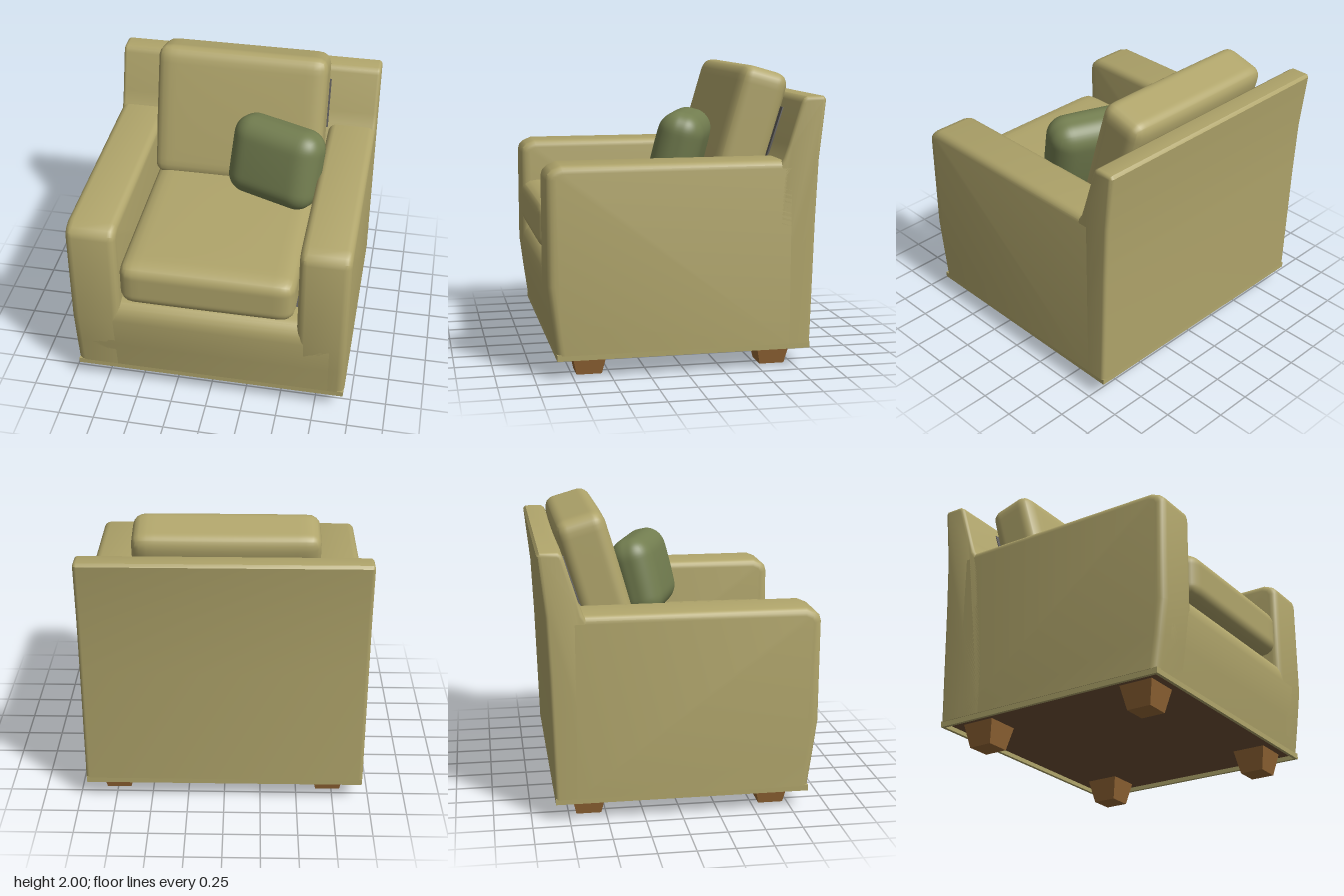
import * as THREE from 'three';
import { mergeVertices, toCreasedNormals } from 'three/addons/utils/BufferGeometryUtils.js';

const HEM = 0.13;   // bottom edge of the upholstery
const FLOOR = 0.165; // recessed underside of the body

const fabric = new THREE.MeshStandardMaterial({ color: 0xb0a56b });
const green = new THREE.MeshStandardMaterial({ color: 0x737e50 });
const wood = new THREE.MeshStandardMaterial({ color: 0x966836 });
const dark = new THREE.MeshStandardMaterial({ color: 0x6f5035 });
const lining = new THREE.MeshStandardMaterial({ color: 0x5c5a58 });

function part(name, geometry, material) {
  const mesh = new THREE.Mesh(geometry, material);
  mesh.name = name;
  return mesh;
}

// Side profile of [z, y] points, extruded along x with rounded edges and a flat underside
function panel(points, width, bevel) {
  const shape = new THREE.Shape(points.map(([z, y]) => new THREE.Vector2(z, y)));
  const depth = width - 2 * bevel;
  const geo = new THREE.ExtrudeGeometry(shape, {
    depth, bevelSize: bevel, bevelThickness: bevel, bevelOffset: -bevel, bevelSegments: 4,
  });
  geo.translate(0, 0, -depth / 2).rotateY(-Math.PI / 2);
  const pos = geo.attributes.position;
  for (let i = 0; i < pos.count; i++) pos.setY(i, Math.max(pos.getY(i), FLOOR));
  return toCreasedNormals(geo, 0.6);
}

// Soft block: rounded box whose faces swell towards their middle along one axis
function cushion(w, h, d, r, puffAxis, puff) {
  const geo = new THREE.BoxGeometry(w, h, d, 24, 24, 24);
  geo.deleteAttribute('normal');
  geo.deleteAttribute('uv');
  const half = new THREE.Vector3(w, h, d).multiplyScalar(0.5);
  const core = half.clone().subScalar(r);
  const pos = geo.attributes.position;
  const p = new THREE.Vector3(), inner = new THREE.Vector3();
  for (let i = 0; i < pos.count; i++) {
    p.fromBufferAttribute(pos, i);
    inner.copy(p).clamp(core.clone().negate(), core);
    p.sub(inner).setLength(r).add(inner);
    let swell = 1;
    for (const a of ['x', 'y', 'z']) if (a !== puffAxis) swell *= 1 - (p[a] / half[a]) ** 2;
    p[puffAxis] *= 1 - puff + puff * Math.sqrt(Math.max(swell, 0));
    pos.setXYZ(i, p.x, p.y, p.z);
  }
  const smooth = mergeVertices(geo, 1e-4);
  smooth.computeVertexNormals();
  return smooth;
}

// Thin rectangular lip around the underside
function hemGeometry(halfX, back, front, thickness) {
  const rect = (path, t) => path
    .moveTo(-halfX + t, -front + t).lineTo(halfX - t, -front + t)
    .lineTo(halfX - t, -back - t).lineTo(-halfX + t, -back - t).closePath();
  const shape = new THREE.Shape();
  rect(shape, 0);
  const hole = new THREE.Path();
  rect(hole, thickness);
  shape.holes.push(hole);
  return new THREE.ExtrudeGeometry(shape, { depth: FLOOR - HEM + 0.005, bevelEnabled: false })
    .rotateX(-Math.PI / 2).translate(0, HEM, 0);
}

// Square foot, wider at the top
function footGeometry() {
  const geo = new THREE.CylinderGeometry(0.121 * Math.SQRT2, 0.084 * Math.SQRT2, 0.17, 4, 1);
  return toCreasedNormals(geo.rotateY(Math.PI / 4).translate(0, 0.085, 0), 0.3);
}

export function createModel() {
  const chair = new THREE.Group();
  chair.name = 'armchair';

  // Arms
  const armProfile = [
    [-0.75, 0.06], [0.852, 0.06], [0.86, HEM], [0.89, 0.38], [0.92, 0.62], [0.92, 1.31],
    [0.91, 1.345], [0.88, 1.375], [0.82, 1.4], [-0.75, 1.4],
  ];
  for (const [name, side] of [['leftArm', 1], ['rightArm', -1]]) {
    const arm = part(name, panel(armProfile, 0.343, 0.052), fabric);
    arm.position.x = side * 0.783;
    chair.add(arm);
  }

  // Front rail, flush with the arms
  chair.add(part('frontRail', panel([
    [0.7, 0.06], [0.852, 0.06], [0.86, HEM], [0.89, 0.38], [0.92, 0.62],
    [0.913, 0.68], [0.895, 0.72], [0.865, 0.75], [0.82, 0.765], [0.7, 0.765],
  ], 1.7, 0.01), fabric));

  // Full-width back, its sloping front curving into the arm tops
  chair.add(part('back', panel([
    [-0.842, 0.06], [-0.5, 0.06], [-0.5, 0.97], [-0.61, 1.36], [-0.645, 1.41], [-0.675, 1.5],
    [-0.76, 1.775], [-0.772, 1.8], [-0.795, 1.815],
    [-0.912, 1.815], [-0.928, 1.795], [-0.885, 1.4], [-0.867, 1.0],
  ], 1.909, 0.026), fabric));

  // Hem and underside board
  chair.add(part('hem', hemGeometry(0.95, -0.842, 0.86, 0.022), fabric));
  const board = part('undersideBoard', new THREE.BoxGeometry(1.87, 0.02, 1.66), dark);
  board.position.set(0, FLOOR + 0.004, 0.009);
  chair.add(board);

  // Lining behind the back cushion and the deck beneath the seat
  chair.add(part('backLining', panel([
    [-0.52, 0.7], [-0.49, 0.7], [-0.49, 0.97], [-0.63, 1.4], [-0.735, 1.72], [-0.76, 1.72], [-0.66, 1.4],
  ], 1.21, 0.002), lining));
  const deck = part('seatDeck', new THREE.BoxGeometry(1.3, 0.56, 1.5), lining);
  deck.position.set(0, 0.478, 0.05);
  chair.add(deck);

  // Seat cushion
  const seat = part('seatCushion', cushion(1.2, 0.36, 1.4, 0.095, 'y', 0.1), fabric);
  seat.position.set(-0.008, 0.95, 0.23);
  chair.add(seat);

  // Back cushion, leaning back
  const rest = part('backCushion', cushion(1.22, 0.965, 0.365, 0.085, 'z', 0.09), fabric);
  rest.position.set(-0.012, 1.508, -0.507);
  rest.rotation.x = -0.28;
  chair.add(rest);

  // Loose pillow, turned and tilted
  const pillow = part('pillow', cushion(0.675, 0.58, 0.33, 0.14, 'z', 0.14), green);
  pillow.position.set(0.308, 1.403, -0.088);
  pillow.rotation.set(-0.25, -0.37, 0, 'YXZ');
  chair.add(pillow);

  // Feet
  const foot = footGeometry();
  for (const x of [-0.723, 0.742]) {
    for (const z of [0.635, -0.615]) {
      const leg = part(z > 0 ? 'frontFoot' : 'backFoot', foot, wood);
      leg.position.set(x, 0, z);
      chair.add(leg);
    }
  }
  return chair;
}
